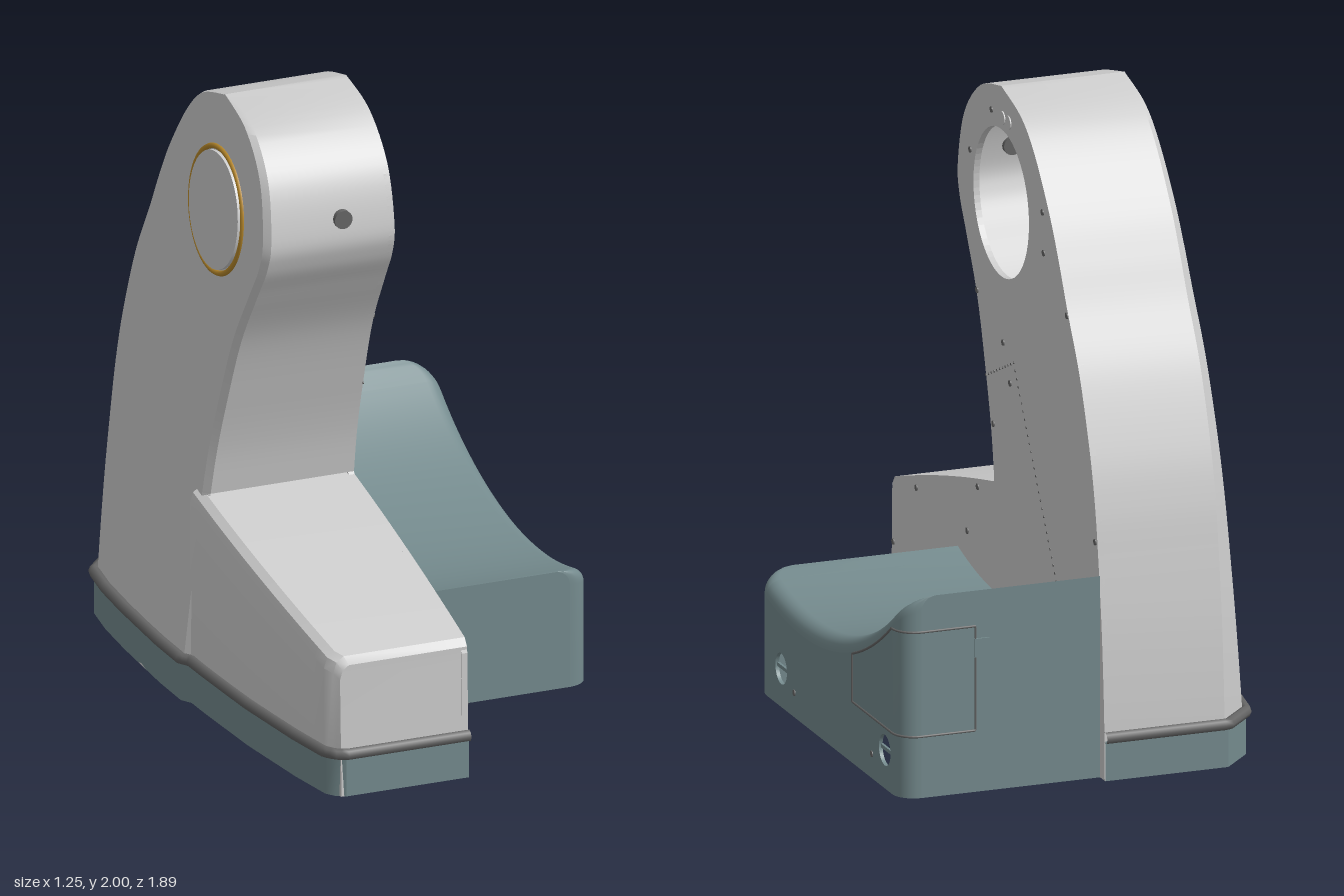
import * as THREE from 'three';
import { toCreasedNormals } from 'three/addons/utils/BufferGeometryUtils.js';

const V2 = (p) => new THREE.Vector2(p[0], p[1]);
const lerp = THREE.MathUtils.lerp;
const mat = (color) => new THREE.MeshStandardMaterial({ color, side: THREE.DoubleSide });
const grey = mat(0xcccccc), slate = mat(0x748a8d), gold = mat(0xb8892b), dark = mat(0x666666);
const PLATE_X = -0.055;

// Skin through a list of equal-length cross-sections
function loft(sections, crease = 0.5) {
  const n = sections[0].length, index = [];
  for (let i = 0; i < sections.length - 1; i++)
    for (let j = 0; j < n - 1; j++) {
      const a = i * n + j, b = a + n;
      index.push(a, b, a + 1, b, b + 1, a + 1);
    }
  const g = new THREE.BufferGeometry();
  g.setAttribute('position', new THREE.Float32BufferAttribute(sections.flat(2), 3));
  g.setIndex(index);
  return toCreasedNormals(g, crease);
}

// Slab in the side plane from (z, y) points, with round holes [z, y, r]
function sideSlab(points, holes, x, depth) {
  const shape = new THREE.Shape(points.map(([z, y]) => new THREE.Vector2(-z, y)));
  for (const [z, y, r] of holes) shape.holes.push(new THREE.Path().absarc(-z, y, r, 0, Math.PI * 2, true));
  const g = new THREE.ExtrudeGeometry(shape, { depth, bevelEnabled: false, curveSegments: 32 });
  return g.rotateY(Math.PI / 2).translate(x, 0, 0);
}

const steps = (n, f) => Array.from({ length: n + 1 }, (_, i) => f(i / n));
const spline = (pts, n) => new THREE.SplineCurve(pts.map(V2)).getPoints(n).map((p) => [p.x, p.y]);

// Arm edges as (z, y)
const frontLow = steps(10, (t) => [lerp(-0.03, 0.03, t), 0.7 * t]);
const rearLow = spline([[-0.925, 0], [-0.92, 0.2], [-0.9, 0.47], [-0.87, 0.7]], 10);
const frontUp = spline([[0.03, 0.7], [0.055, 0.85], [0.1, 1.02], [0.175, 1.25], [0.27, 1.43],
  [0.33, 1.54], [0.345, 1.64], [0.29, 1.82], [0.15, 1.95], [-0.03, 2]], 54);
const rearUp = spline([[-0.87, 0.7], [-0.845, 0.85], [-0.8, 1.02], [-0.71, 1.25], [-0.6, 1.44],
  [-0.53, 1.57], [-0.45, 1.7], [-0.32, 1.86], [-0.2, 1.95], [-0.03, 2]], 54);
const footTop = (z) => 0.7 - 0.275 * z + 0.06 * z * (0.88 - z);

// Outer faces: the arm leans inward with height and curves toward the rear
const armX = (y, z) => Math.min(-0.465, -0.612 + 0.073 * y + 0.05 * Math.max(0, (-0.15 - z) / 0.68) ** 2);
const footX = (z) => -0.585 + 0.09 * z * z;

function armSection(front, rear, endX) {
  const [zf, yf] = front, [zr, yr] = rear, w = zf - zr;
  const chamfer = Math.min((-0.46 - armX(yr, zr + 0.1)) * 1.1, w * 0.3);
  const round = Math.min(0.02, w * 0.1);
  const at = (z) => (w > 1e-4 ? lerp(yr, yf, (z - zr) / w) : yf);
  const s = [[PLATE_X, yr, zr], [-0.455, yr, zr]];
  for (const t of [0, 0.2, 0.4, 0.6, 0.8, 1]) {
    const z = lerp(zr + chamfer, zf - round, t);
    s.push([armX(at(z), z), at(z), z]);
  }
  const xe = armX(yf, zf) + round;
  s.push([xe, yf, zf], [endX ?? PLATE_X, yf, zf]);
  return s;
}

function footSection(z, x, top, c) {
  return [[PLATE_X, top, z], [x + c, top, z], [x + c * 0.3, top - c * 0.5, z], [x, top - c * 1.5, z], [x, 0, z]];
}

// Cover: concave saddle top with rounded outer edges
const coverTop = (z) => 0.335 + 1.3 - Math.sqrt(1.69 - (z + 0.03) ** 2);
const ZF = 0.345, ZB = -0.885, CR = 0.07, TR = 0.05, CX = 0.61;
function coverX(z) {
  const d = Math.max(0, z - (ZF - CR), ZB + CR - z);
  return CX - CR + Math.sqrt(Math.max(0, CR * CR - d * d));
}
function coverSection(z, toFloor) {
  const x = coverX(z), y = coverTop(z), s = [[PLATE_X, y, z]];
  for (let i = 0; i <= 6; i++) {
    const a = (i / 6) * Math.PI / 2;
    s.push([x - TR + TR * Math.sin(a), y - TR + TR * Math.cos(a), z]);
  }
  if (toFloor) s.push([x, 0, z]);
  return s;
}

export function createModel() {
  const root = new THREE.Group();
  const add = (name, geometry, material = grey, parent = root) => {
    const m = new THREE.Mesh(geometry, material);
    m.name = name;
    parent.add(m);
    return m;
  };
  const disc = (name, axis, r, h, p, material = dark) => {
    const g = new THREE.CylinderGeometry(r, r, h, 20);
    if (axis === 'x') g.rotateZ(Math.PI / 2); else g.rotateX(Math.PI / 2);
    return add(name, g.translate(...p), material);
  };
  const line = (name, pts, r, material) => {
    const path = new THREE.CurvePath();
    const v = pts.map((p) => new THREE.Vector3(...p));
    for (let i = 1; i < v.length; i++) path.add(new THREE.LineCurve3(v[i - 1], v[i]));
    return add(name, new THREE.TubeGeometry(path, pts.length * 12, r, 8), material);
  };

  // Hollow arm shell
  add('armLowerShell', loft(frontLow.map((f, i) => armSection(f, rearLow[i], -0.55))));
  add('armUpperShell', loft(frontUp.map((f, i) => armSection(f, rearUp[i]))));

  // Hollow foot with a rounded nose
  const foot = steps(16, (t) => lerp(-0.03, 0.86, t)).map((z) => footSection(z, footX(z), footTop(z), 0.035));
  foot.push(footSection(0.89, -0.5, 0.455, 0.035), footSection(0.908, -0.485, 0.43, 0.03));
  const nose = foot[foot.length - 1].map((p) => [...p]);
  nose[nose.length - 1][2] = 0.92;
  foot[foot.length - 1] = nose;
  add('footShell', loft(foot));
  add('footNose', loft([nose, nose.map(([x, y, z]) => [PLATE_X, y, z])]));

  // Flat side plate with the round opening
  const outline = [[0.92, 0], [0.912, 0.41], [0.9, 0.44],
    ...steps(14, (t) => lerp(0.87, 0.035, t)).map((z) => [z, footTop(z)]),
    ...frontUp, ...rearUp.slice(0, -1).reverse(), ...rearLow.slice(0, -1).reverse()];
  add('sidePlate', sideSlab(outline, [[-0.03, 1.62, 0.24]], PLATE_X - 0.02, 0.02));

  // Round pivot cap on the outer face
  const cap = new THREE.Group();
  cap.name = 'pivotCap';
  cap.position.set(armX(1.62, -0.03), 1.62, -0.03);
  cap.rotation.z = -0.073;
  root.add(cap);
  add('capDisc', new THREE.CylinderGeometry(0.188, 0.188, 0.024, 48).rotateZ(Math.PI / 2), grey, cap);
  add('capRing', new THREE.TorusGeometry(0.2, 0.009, 8, 64).rotateY(Math.PI / 2), gold, cap);

  // Base band and bead around the arm and foot
  const base = [[PLATE_X, 0.92], [-0.465, 0.918], [-0.495, 0.9], [-0.515, 0.87], [-0.541, 0.7], [-0.571, 0.4],
    [-0.584, 0.1], [-0.586, 0], [-0.607, -0.035], [-0.607, -0.2], [-0.594, -0.5], [-0.58, -0.68],
    [-0.558, -0.82], [-0.46, -0.924], [PLATE_X, -0.924]]
    .map(([x, z]) => [PLATE_X + (x - PLATE_X) * 1.012, z * 1.006]);
  add('baseBand', loft([0, 0.13].map((y) => base.map(([x, z]) => [x, y, z]))), slate);
  line('baseBead', base.map(([x, z]) => [x, 0.14, z]), 0.019, dark);

  // Side cover: saddle, corners and flat walls, open underneath
  const z0 = ZB + CR, z1 = ZF - CR;
  const bend = (from, dir) => steps(8, (t) => from + dir * CR * Math.sin(t * Math.PI / 2));
  add('coverTop', loft(steps(40, (t) => coverSection(lerp(z0, z1, t), false))), slate);
  add('coverFrontCorner', loft(bend(z1, 1).map((z) => coverSection(z, true))), slate);
  add('coverRearCorner', loft(bend(z0, -1).map((z) => coverSection(z, true))), slate);
  const wall = [[z1, 0], ...steps(30, (t) => lerp(z1, z0, t)).map((z) => [z, coverTop(z) - TR]), [z0, 0]];
  add('coverSideWall', sideSlab(wall, [[0.145, 0.125, 0.05], [-0.75, 0.125, 0.05]], CX - 0.012, 0.012), slate);
  for (const [name, z] of [['coverFrontWall', ZF], ['coverRearWall', ZB]]) {
    const pts = coverSection(z, true).map(V2);
    pts.push(new THREE.Vector2(PLATE_X, 0));
    add(name, new THREE.ShapeGeometry(new THREE.Shape(pts)).translate(0, 0, z), slate);
  }
  for (const z of [0.145, -0.75])
    add('holeBar', new THREE.BoxGeometry(0.008, 0.012, 0.1).translate(CX - 0.01, 0.125, z), slate);

  // Access panel seam wrapping the rear corner, with latch
  const seamTop = steps(8, (t) => lerp(-0.47, z0, t)).map((z) => [CX, coverTop(z) - 0.055, z]);
  const wrap = (y) => bend(z0, -1).map((z) => [coverX(z), y, z]);
  line('panelSeam', [[CX, 0.2, -0.47], ...seamTop, ...wrap(0.54), [0.36, 0.54, ZB], [0.36, 0.2, ZB],
    ...wrap(0.2).reverse(), [CX, 0.2, -0.47]], 0.004, dark);
  add('panelLatch', new THREE.BoxGeometry(0.05, 0.06, 0.012).translate(0.34, 0.47, ZB), slate);

  // Screws on the plate and cover
  for (const [z, y] of [[0.82, 0.06], [0.9, 0.24], [0.7, 0.475], [0.26, 0.465], [0.17, 0.635], [0.035, 0.88],
    [-0.05, 1.17], [-0.11, 1.055], [0.175, 1.275], [0.235, 1.715], [0.05, 1.9], [-0.39, 1.695],
    [-0.4, 1.565], [-0.6, 1.42], [-0.845, 0.755], [-0.73, 0.575], [-0.415, 0.485]])
    disc('plateScrew', 'x', 0.01, 0.008, [PLATE_X, y, z]);
  for (const z of [-0.045, -0.097]) disc('indicator', 'x', 0.022, 0.008, [PLATE_X, 1.9, z], grey);
  for (const z of [0.03, -0.64]) disc('coverScrew', 'x', 0.01, 0.006, [CX, 0.08, z]);
  disc('coverFrontScrew', 'z', 0.01, 0.006, [0, 0.08, ZF]);
  disc('frontConnector', 'z', 0.03, 0.03, [-0.23, 1.68, 0.337]);

  // Row of small vent holes across the plate
  const vents = [[0.1, 1.02], [-0.14, 1.13], [-0.55, 0.46]];
  for (let k = 0; k < 2; k++)
    for (let i = 0, n = k ? 30 : 10; i < n; i++)
      disc('ventHole', 'x', 0.004, 0.004,
        [PLATE_X, lerp(vents[k][1], vents[k + 1][1], i / n), lerp(vents[k][0], vents[k + 1][0], i / n)]);
  return root;
}
